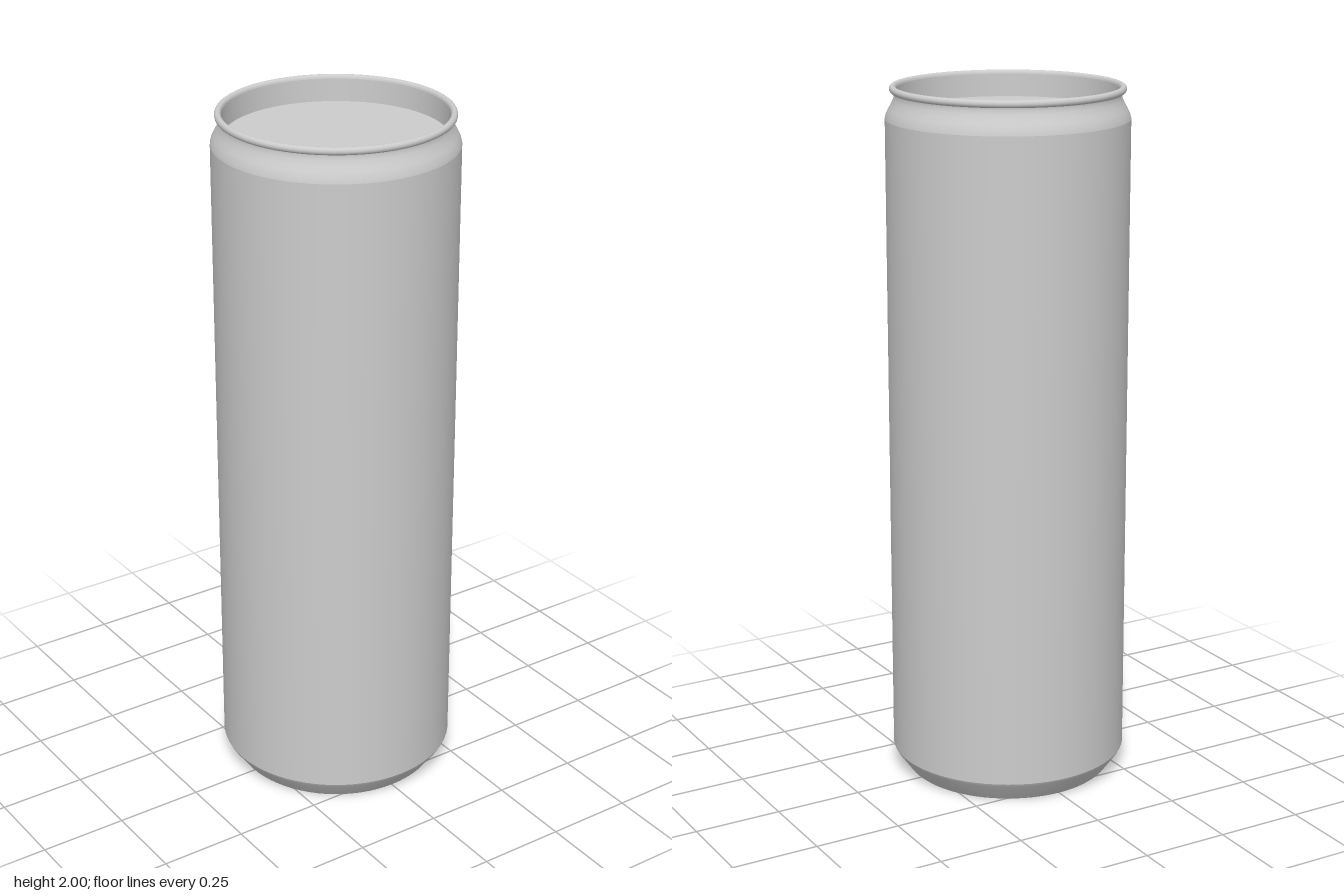
import * as THREE from 'three';

const SEGMENTS = 72;

export function createModel() {
  const can = new THREE.Group();
  can.name = 'can';
  const aluminium = new THREE.MeshStandardMaterial({ color: 0xcccccc });
  aluminium.name = 'aluminium';

  // Each band is its own lathe, so shading is smooth within it and creased between bands.
  // Profiles run from the bottom centre, up the outside, and down to the lid centre.
  const band = (name, profile) => {
    const points = profile.map(([r, y]) => new THREE.Vector2(r, y));
    const mesh = new THREE.Mesh(new THREE.LatheGeometry(points, SEGMENTS), aluminium);
    mesh.name = name;
    can.add(mesh);
  };

  // Concave base: a shallow dome pushed up into the can
  const dome = [];
  for (let i = 0; i <= 10; i++) {
    const t = i / 10;
    dome.push([0.283 * t, 0.085 * (1 - t * t)]);
  }
  band('baseDome', dome);
  band('standingRing', [[0.283, 0], [0.292, 0]]);
  band('baseChamfer', [[0.292, 0], [0.298, 0.005], [0.334, 0.055], [0.339, 0.065]]);

  // Straight body
  band('body', [[0.339, 0.065], [0.339, 1.908]]);

  // Neck drawn in under the rim
  band('neck', [
    [0.339, 1.908], [0.336, 1.921], [0.329, 1.935], [0.321, 1.949],
    [0.315, 1.962], [0.312, 1.973], [0.313, 1.979],
  ]);

  // Rolled rim: a half-round bead standing out from the neck
  const rim = [[0.313, 1.979]];
  for (let i = 0; i <= 12; i++) {
    const a = -Math.PI / 2 + (i / 12) * Math.PI * 1.5;
    rim.push([0.3165 + 0.0095 * Math.cos(a), 1.9895 + 0.0105 * Math.sin(a)]);
  }
  band('rim', rim);

  // Inner wall down to the recessed lid
  band('innerWall', [[0.307, 1.9895], [0.306, 1.925]]);
  band('lid', [[0.306, 1.925], [0, 1.925]]);

  return can;
}
